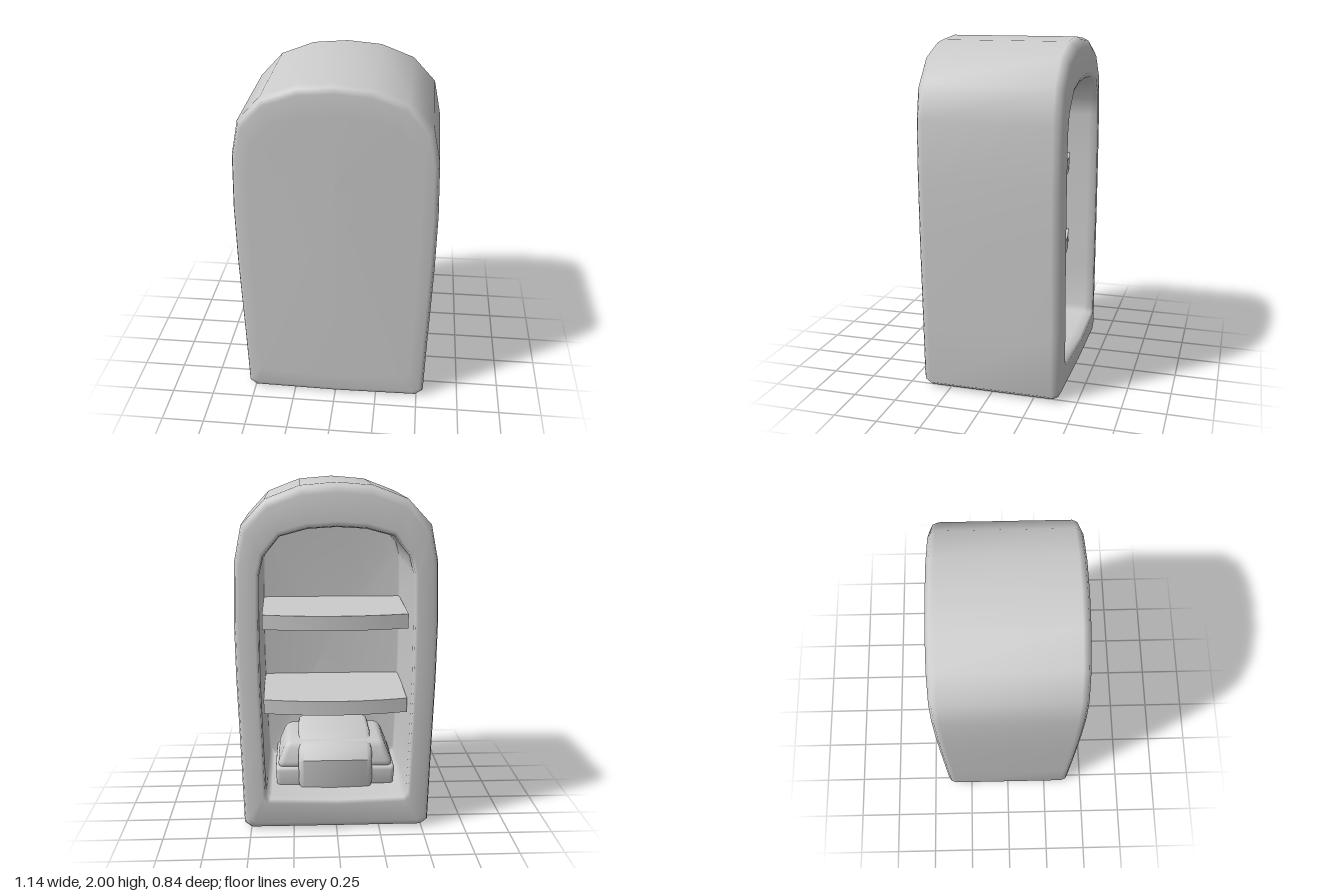
import * as THREE from 'three';
import { RoundedBoxGeometry } from 'three/addons/geometries/RoundedBoxGeometry.js';
import { toCreasedNormals } from 'three/addons/utils/BufferGeometryUtils.js';

const grey = new THREE.MeshStandardMaterial({ color: 0xcccccc });
grey.name = 'light grey';

// right halves of the outline and of the rear opening, bottom centre to top centre
const OUTER = [[0, 0], [0.5, 0], [0.54, 0.03], [0.55, 0.4], [0.566, 0.9], [0.57, 1.25], [0.56, 1.57],
  [0.52, 1.77], [0.39, 1.91], [0.2, 1.983], [0, 2]];
const INNER = [[0, 0.19], [0.38, 0.2], [0.41, 0.23], [0.42, 0.5], [0.43, 0.9], [0.43, 1.25], [0.425, 1.5],
  [0.4, 1.6], [0.31, 1.71], [0.16, 1.75], [0, 1.76]];
const mirror = (half) => [...half, ...half.slice(1, -1).reverse().map(([x, y]) => [-x, y])];
const outer = mirror(OUTER), inner = mirror(INNER);

// closed loop at depth z: t = 0 is the outline, t = 1 the opening; bulge bows it along z
const loop = (t, z, bulge = 0) => outer.map(([x, y], i) => {
  const px = THREE.MathUtils.lerp(x, inner[i][0], t);
  const py = THREE.MathUtils.lerp(y, inner[i][1], t);
  return [px, py, z + bulge * (1 - (px / 0.57) ** 2)];
});
const centre = (y, z) => outer.map(() => [0, y, z]);

// skin between consecutive loops
function skin(loops) {
  const n = loops[0].length, index = [];
  for (let k = 0; k < loops.length - 1; k++) {
    for (let i = 0; i < n; i++) {
      const j = (i + 1) % n, a = k * n + i, b = k * n + j, c = a + n, d = b + n;
      index.push(c, d, a, d, b, a);
    }
  }
  const g = new THREE.BufferGeometry();
  g.setAttribute('position', new THREE.Float32BufferAttribute(loops.flat(2), 3));
  g.setIndex(index);
  g.computeVertexNormals();
  return g;
}

function add(parent, name, geometry, x = 0, y = 0, z = 0) {
  const mesh = new THREE.Mesh(geometry, grey);
  mesh.name = name;
  mesh.position.set(x, y, z);
  parent.add(mesh);
  return mesh;
}

// flat board with a bowed rear edge
function shelfGeometry() {
  const s = new THREE.Shape();
  s.moveTo(-0.43, -0.33);
  s.lineTo(0.43, -0.33);
  s.lineTo(0.42, 0.24);
  s.quadraticCurveTo(0, 0.34, -0.42, 0.24);
  const g = new THREE.ExtrudeGeometry(s, { depth: 0.085, bevelEnabled: false, curveSegments: 6 });
  g.rotateX(-Math.PI / 2);
  return toCreasedNormals(g, 0.5);
}

// rounded block whose top is narrowed
function taperedBlock(w, h, d, r, taper) {
  const g = new RoundedBoxGeometry(w, h, d, 2, r);
  const p = g.attributes.position;
  for (let i = 0; i < p.count; i++) {
    const k = 1 - taper * (p.getY(i) / h + 0.5);
    p.setX(i, p.getX(i) * k);
    p.setZ(i, p.getZ(i) * k);
  }
  return toCreasedNormals(g, 0.7);
}

// housing with a sloping rear face, extruded across the width
function housingGeometry() {
  const s = new THREE.Shape();
  [[0.22, 0.22], [0.235, 0.36], [0.19, 0.41], [0.02, 0.47], [-0.16, 0.47], [-0.16, 0.22]]
    .forEach(([u, v], i) => (i ? s.lineTo(u, v) : s.moveTo(u, v)));
  const g = new THREE.ExtrudeGeometry(s, {
    depth: 0.38, bevelEnabled: true, bevelSize: 0.03, bevelThickness: 0.03, bevelSegments: 2,
  });
  g.translate(0, 0, -0.19);
  g.rotateY(Math.PI / 2);
  return toCreasedNormals(g, 0.8);
}

export function createModel() {
  const model = new THREE.Group();
  model.name = 'cabinet';

  // hollow arched body: front face, bevel, sides, rear frame, opening, inside walls and panel
  add(model, 'body', skin([
    centre(1.4, 0.42),
    loop(0.7, 0.408, 0.012),
    loop(0.2, 0.406, 0.012),
    loop(0.07, 0.395, 0.01),
    loop(0, 0.365, 0.008),
    loop(0, -0.355),
    loop(0.07, -0.388),
    loop(0.22, -0.402, -0.006),
    loop(0.85, -0.405, -0.017),
    loop(0.96, -0.395, -0.015),
    loop(1, -0.36),
    loop(1, 0.29),
    loop(1.06, 0.32),
    centre(1.0, 0.325),
  ]));

  // two shelves
  [0.66, 1.165].forEach((y, i) => add(model, i ? 'upperShelf' : 'lowerShelf', shelfGeometry(), 0, y, 0));

  // machine unit on the floor
  const unit = new THREE.Group();
  unit.name = 'machineUnit';
  model.add(unit);
  add(unit, 'unitBase', taperedBlock(0.7, 0.13, 0.46, 0.025, -0.03), 0, 0.245, 0.02);
  add(unit, 'unitCover', taperedBlock(0.71, 0.16, 0.47, 0.04, 0.18), 0, 0.38, 0.02);
  add(unit, 'unitHousing', housingGeometry());

  return model;
}
